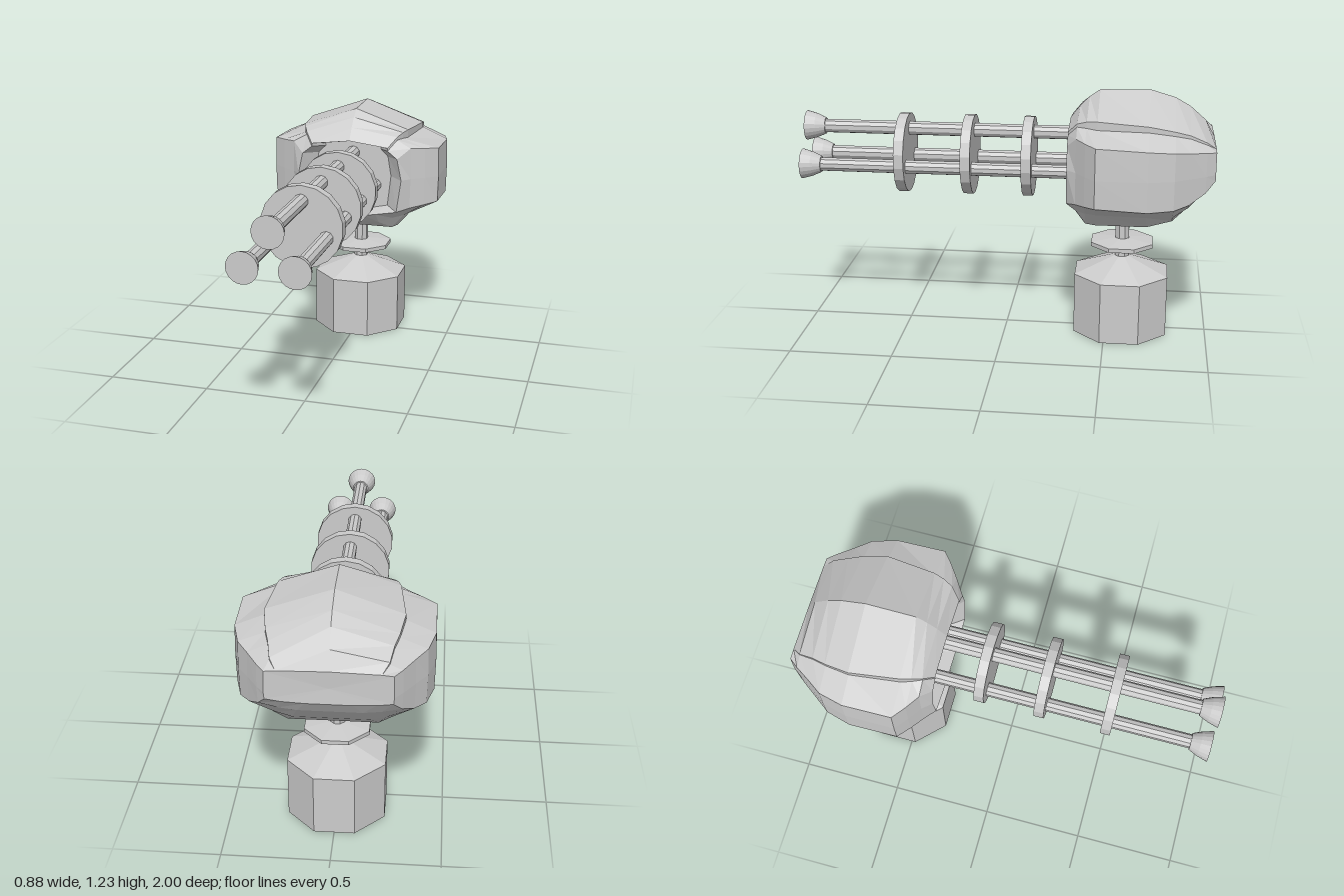
import * as THREE from 'three';

const grey = new THREE.MeshStandardMaterial({ color: 0xcccccc, flatShading: true });
const AXIS_Z = -0.575; // pedestal axis

function add(parent, name, geometry, x = 0, y = 0, z = 0) {
  const mesh = new THREE.Mesh(geometry, grey);
  mesh.name = name;
  mesh.position.set(x, y, z);
  parent.add(mesh);
  return mesh;
}

// Eight-sided turned shape with a flat side facing the front
function octagonLathe(points) {
  const profile = points.map(([r, y]) => new THREE.Vector2(r, y));
  return new THREE.LatheGeometry(profile, 8, Math.PI / 8);
}

// Cylinder lying along z, centred between z0 and z1
function rod(rBack, rFront, z0, z1, sides) {
  const g = new THREE.CylinderGeometry(rFront, rBack, z1 - z0, sides);
  g.rotateX(Math.PI / 2);
  return g.translate(0, 0, (z0 + z1) / 2);
}

// Head cross-sections, front to back: [z, ridge y, shoulder x, shoulder y,
// step y, pod x, pod top y, pod bottom y, under x, under y, keel x, keel y]
const SECTIONS = [
  [-0.31, 1.08, 0.2, 1.055, 1.04, 0.25, 1.0, 0.72, 0.14, 0.7, 0.08, 0.69],
  [-0.355, 1.14, 0.24, 1.105, 1.09, 0.31, 1.05, 0.735, 0.22, 0.675, 0.15, 0.645],
  [-0.4, 1.185, 0.26, 1.12, 1.09, 0.375, 1.045, 0.745, 0.27, 0.68, 0.21, 0.61],
  [-0.45, 1.22, 0.275, 1.125, 1.085, 0.437, 1.04, 0.755, 0.29, 0.68, 0.23, 0.61],
  [-0.69, 1.225, 0.305, 1.115, 1.088, 0.437, 1.03, 0.745, 0.29, 0.675, 0.23, 0.61],
  [-0.81, 1.19, 0.285, 1.09, 1.07, 0.405, 1.02, 0.75, 0.27, 0.675, 0.2, 0.635],
  [-0.88, 1.15, 0.265, 1.07, 1.055, 0.355, 1.01, 0.765, 0.24, 0.715, 0.17, 0.695],
  [-0.955, 1.085, 0.25, 1.035, 1.025, 0.305, 1.0, 0.81, 0.22, 0.79, 0.14, 0.78],
  [-1.0, 1.005, 0.22, 1.0, 1.0, 0.27, 0.995, 0.86, 0.2, 0.85, 0.1, 0.845],
];

// Full closed ring for one section: down the +x half, up the mirrored half
function sectionRing([z, ridge, sx, sy, step, px, pTop, pBot, ux, uy, kx, ky]) {
  const half = [
    [0, ridge], [sx, sy], [sx, step], [px, pTop],
    [px + 0.003, 0.89], [px, pBot], [ux, uy], [kx, ky], [0, ky],
  ];
  const mirrored = half.slice(1, -1).reverse().map(([x, y]) => [-x, y]);
  return [...half, ...mirrored].map(([x, y]) => [x, y, z]);
}

function headGeometry() {
  const rings = SECTIONS.map(sectionRing);
  // Bulge the front rim at mid height and sink a recess behind it
  rings[0].forEach((p) => { if (p[1] === 0.89) p[0] *= 1.08; });
  rings.unshift(rings[0].map(([x, y]) => [x * 0.74, 0.88 + (y - 0.88) * 0.93, -0.39]));

  const n = rings[0].length;
  const last = rings.length - 1;
  const positions = rings.flat(2);
  positions.push(0, 0.88, -0.39, 0, 0.92, -0.995);
  const frontCentre = rings.length * n;
  const index = [];
  for (let j = 0; j < n; j++) {
    const k = (j + 1) % n;
    for (let i = 0; i < last; i++) {
      const a = i * n + j, b = i * n + k, c = b + n, d = a + n;
      index.push(a, b, c, a, c, d);
    }
    index.push(frontCentre, k, j);
    index.push(frontCentre + 1, last * n + j, last * n + k);
  }
  const g = new THREE.BufferGeometry();
  g.setAttribute('position', new THREE.Float32BufferAttribute(positions, 3));
  g.setIndex(index);
  const flat = g.toNonIndexed();
  flat.computeVertexNormals();
  return flat;
}

export function createModel() {
  const model = new THREE.Group();
  model.name = 'gunTurret';

  // Pedestal
  const pedestal = new THREE.Group();
  pedestal.name = 'pedestal';
  pedestal.position.z = AXIS_Z;
  model.add(pedestal);
  add(pedestal, 'base', octagonLathe([[0, 0], [0.247, 0], [0.247, 0.305], [0.036, 0.385], [0, 0.385]]));
  add(pedestal, 'stem', octagonLathe([[0.036, 0.37], [0.036, 0.66]]));
  add(pedestal, 'collar', octagonLathe([[0.036, 0.437], [0.163, 0.445], [0.163, 0.465], [0.036, 0.478]]));

  // Armoured head
  add(model, 'head', headGeometry());

  // Three barrels with flared muzzles
  const barrels = new THREE.Group();
  barrels.name = 'barrels';
  model.add(barrels);
  for (const [x, y] of [[0, 1.002], [-0.117, 0.836], [0.117, 0.836]]) {
    add(barrels, 'barrel', rod(0.034, 0.034, -0.42, 0.92, 10), x, y);
    add(barrels, 'muzzleNeck', rod(0.04, 0.06, 0.905, 0.95, 20), x, y);
    add(barrels, 'muzzle', rod(0.06, 0.074, 0.95, 1, 20), x, y);
  }

  // Plates that hold the barrels together
  for (const z of [-0.11, 0.183, 0.507]) {
    add(barrels, 'barrelPlate', rod(0.196, 0.196, -0.024, 0.024, 18), 0, 0.88, z);
  }
  return model;
}
